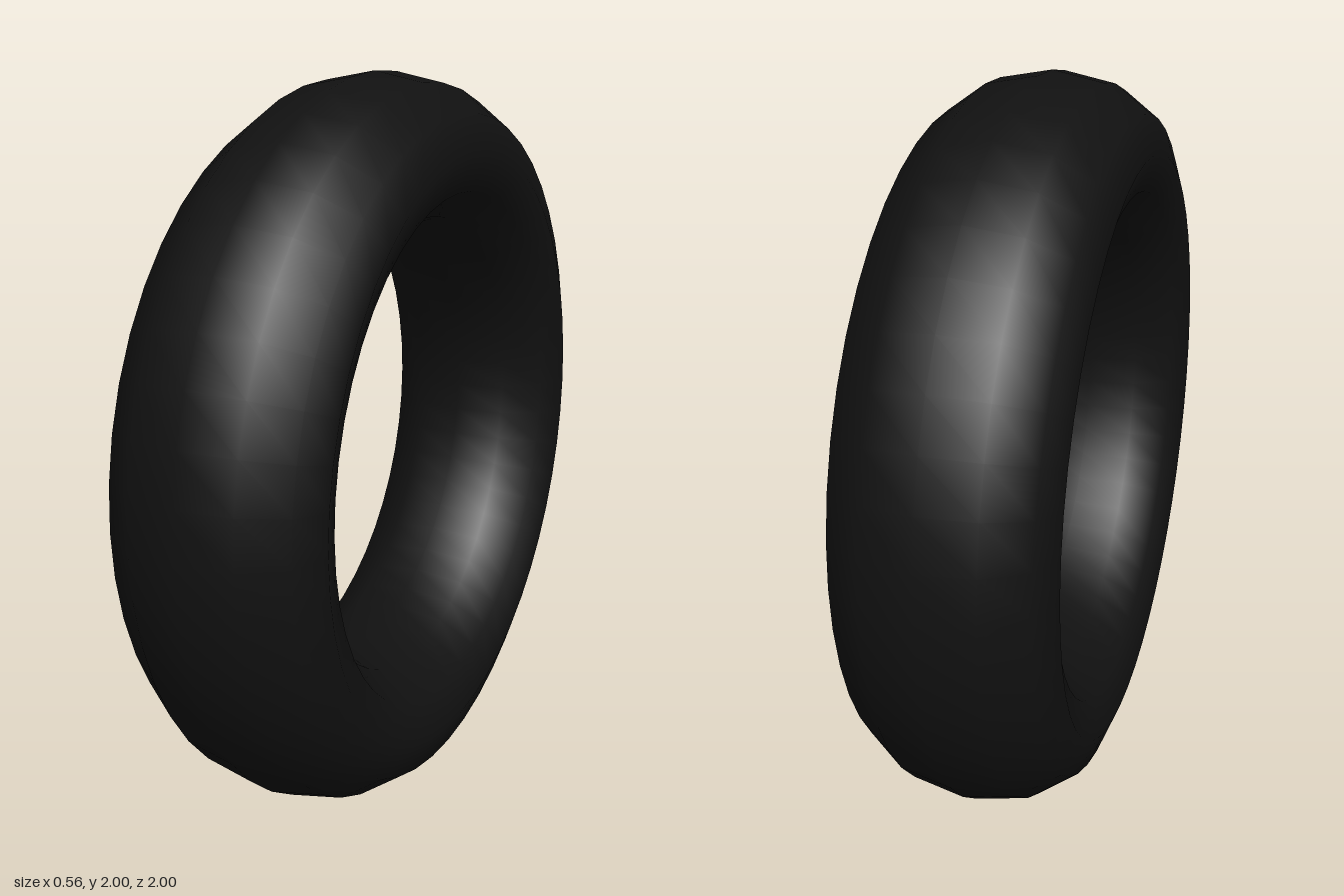
import * as THREE from 'three';

export function createModel() {
  const group = new THREE.Group();
  group.name = 'tireModel';

  // Tyre ring: a torus with its axle along x, widened sideways to an oval section
  const geometry = new THREE.TorusGeometry(0.8, 0.2, 12, 48);
  geometry.rotateY(Math.PI / 2);
  geometry.scale(1.4, 1, 1);

  const tire = new THREE.Mesh(geometry, new THREE.MeshStandardMaterial({ color: 0x111111 }));
  tire.name = 'tire';
  tire.position.y = 1;
  group.add(tire);

  return group;
}
